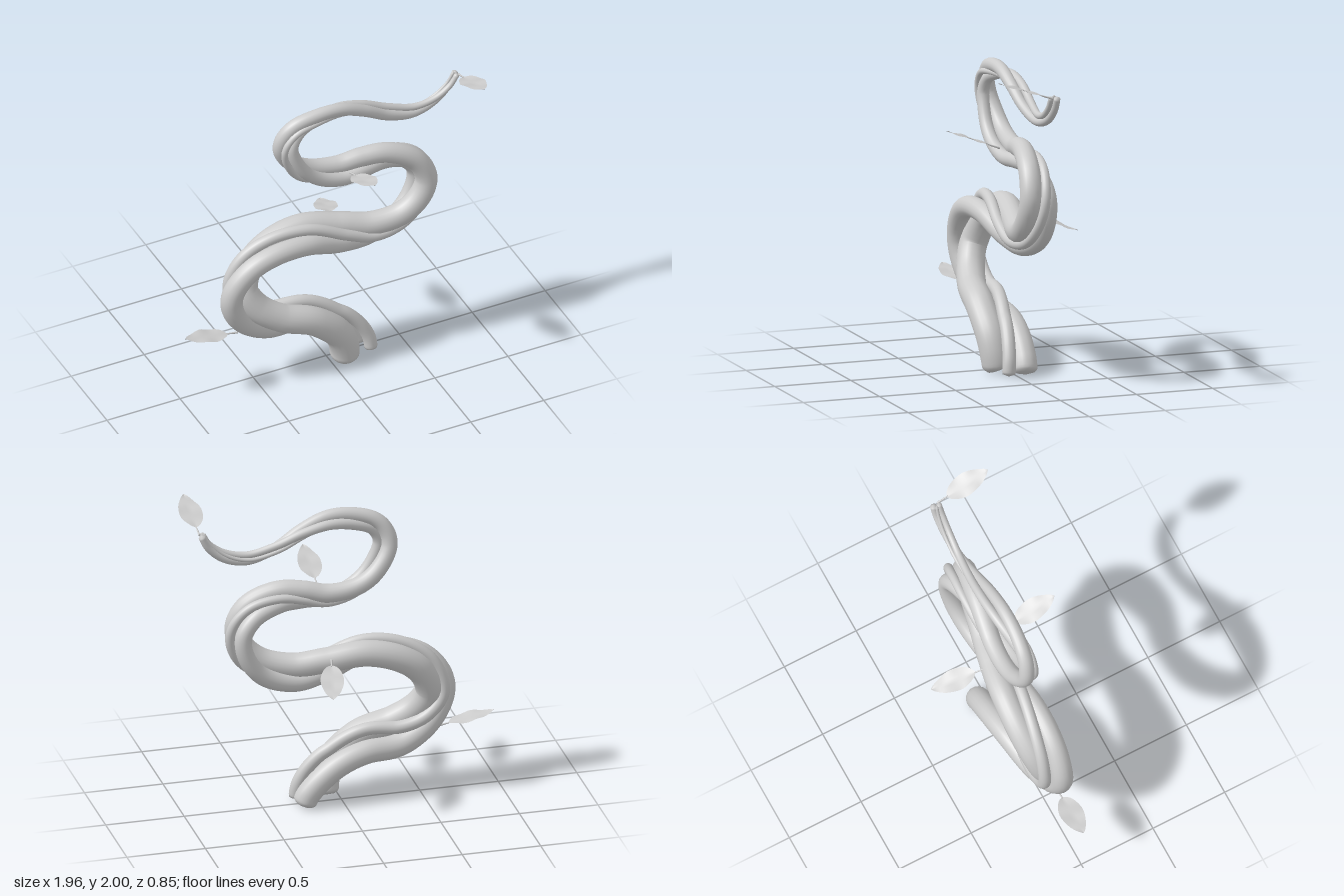
import * as THREE from 'three';
import { mergeVertices } from 'three/addons/utils/BufferGeometryUtils.js';

const V = (x, y, z = 0) => new THREE.Vector3(x, y, z);

// S-shaped spine that the strands wind around
const spine = new THREE.CatmullRomCurve3([
  [0.165, 0.01], [0.125, 0.12], [0.035, 0.245], [-0.14, 0.353], [-0.37, 0.408], [-0.535, 0.525],
  [-0.605, 0.68], [-0.525, 0.845], [-0.37, 0.94], [-0.15, 0.973], [0.1, 0.915], [0.3, 0.885],
  [0.5, 0.945], [0.615, 1.07], [0.645, 1.2], [0.57, 1.33], [0.4, 1.405], [0.25, 1.405],
  [0.1, 1.388], [-0.08, 1.435], [-0.2, 1.53], [-0.28, 1.7], [-0.225, 1.815], [-0.08, 1.872],
  [0.08, 1.883], [0.25, 1.83], [0.42, 1.745], [0.6, 1.695], [0.75, 1.73], [0.85, 1.81], [0.895, 1.89],
].map(([x, y]) => V(x, y)));
spine.arcLengthDivisions = 1000;

const taper = u => 1 - 0.78 * Math.pow(u, 1.6);
const bump = (u, centre, width) => Math.exp(-(((u - centre) / width) ** 2));
const twist = u => 702 * u + 230 * u * u; // degrees, tightening towards the tip

// Strand: a tapered tube with domed ends on an oval helix about the spine
function strand(name, radius, offset, depthOffset, startDeg, material) {
  const points = [];
  for (let i = 0; i <= 120; i++) {
    const u = i / 120;
    const p = spine.getPointAt(u), t = spine.getTangentAt(u);
    const angle = THREE.MathUtils.degToRad(startDeg + twist(u));
    const foot = Math.max(0, 1 - u / 0.06); // strands spread at the ground
    const spread = 1 + 0.9 * foot + 0.3 * bump(u, 0.11, 0.045);
    p.addScaledVector(V(-t.y, t.x), offset * taper(u) * spread * Math.cos(angle));
    p.z += depthOffset * taper(u) * Math.sin(angle);
    p.z += 0.025 * bump(u, 0.14, 0.1) + 0.02 * bump(u, 0.77, 0.05);
    if (i === 0) p.y = 0.01;
    points.push(p);
  }
  const path = new THREE.CatmullRomCurve3(points);
  path.arcLengthDivisions = 1500;
  const rings = 420, sides = 18;
  const geometry = new THREE.TubeGeometry(path, rings, 1, sides);
  const pos = geometry.attributes.position, nor = geometry.attributes.normal;
  const pathLength = path.getLength();
  const p = V(0, 0), n = V(0, 0);
  for (let i = 0; i < pos.count; i++) {
    const u = Math.floor(i / (sides + 1)) / rings;
    const r = radius * taper(u);
    const toEnd = Math.min(u, 1 - u) * pathLength;
    const k = Math.min(1, toEnd / (r * 0.5));
    const dome = Math.sqrt(1 - (1 - k) ** 2);
    n.fromBufferAttribute(nor, i);
    p.fromBufferAttribute(pos, i).addScaledVector(n, r * dome - 1);
    pos.setXYZ(i, p.x, Math.max(0, p.y), p.z);
  }
  geometry.deleteAttribute('uv');
  geometry.deleteAttribute('normal');
  const smooth = mergeVertices(geometry, 1e-5);
  smooth.computeVertexNormals();
  const mesh = new THREE.Mesh(smooth, material);
  mesh.name = name;
  return mesh;
}

// Blade along +z: pointed oval, lightly folded along the midrib and wavy
function bladeGeometry(length) {
  const geometry = new THREE.PlaneGeometry(2, 1, 8, 16);
  const pos = geometry.attributes.position;
  for (let i = 0; i < pos.count; i++) {
    const side = pos.getX(i), t = pos.getY(i) + 0.5;
    const half = 0.073 * Math.pow(Math.max(0, Math.sin(Math.PI * Math.pow(t, 0.85))), 0.75);
    const x = side * half;
    const y = 0.06 * Math.abs(x) + 0.004 * Math.sin(t * 14) * Math.abs(side);
    pos.setXYZ(i, x, y, t * length);
  }
  geometry.computeVertexNormals();
  return geometry;
}

// Leaf with a short stalk, from its root to its tip
function leaf(name, root, tip, material) {
  const group = new THREE.Group();
  group.name = name;
  const length = root.distanceTo(tip), stalkLength = 0.05;
  const stalk = new THREE.Mesh(
    new THREE.CylinderGeometry(0.004, 0.007, stalkLength + 0.03, 8).rotateX(Math.PI / 2), material);
  stalk.position.z = stalkLength / 2 - 0.005;
  stalk.name = name + 'Stalk';
  const blade = new THREE.Mesh(bladeGeometry(length - stalkLength), material);
  blade.position.z = stalkLength;
  blade.name = name + 'Blade';
  group.add(stalk, blade);
  group.position.copy(root);
  group.lookAt(tip);
  return group;
}

export function createModel() {
  const model = new THREE.Group();
  model.name = 'twistedVine';
  const bark = new THREE.MeshStandardMaterial({ color: 0xcccccc });
  const leafMaterial = new THREE.MeshStandardMaterial({ color: 0xcccccc, side: THREE.DoubleSide });

  model.add(
    strand('thickStrand', 0.093, 0.058, 0.088, 45, bark),
    strand('middleStrand', 0.075, 0.072, 0.08, 225, bark),
    strand('thinStrand', 0.042, 0.088, 0.088, 135, bark),
  );

  [
    ['lowerLeaf', V(-0.64, 0.41, 0.03), V(-0.98, 0.472, 0.03)],
    ['backLeaf', V(0.09, 0.995, -0.1), V(0.165, 0.87, -0.425)],
    ['frontLeaf', V(0.13, 1.425, 0.09), V(0.13, 1.55, 0.42)],
    ['tipLeaf', V(0.9, 1.885, 0.03), V(0.905, 2.0, 0.37)],
  ].forEach(([name, root, tip]) => model.add(leaf(name, root, tip, leafMaterial)));

  return model;
}
